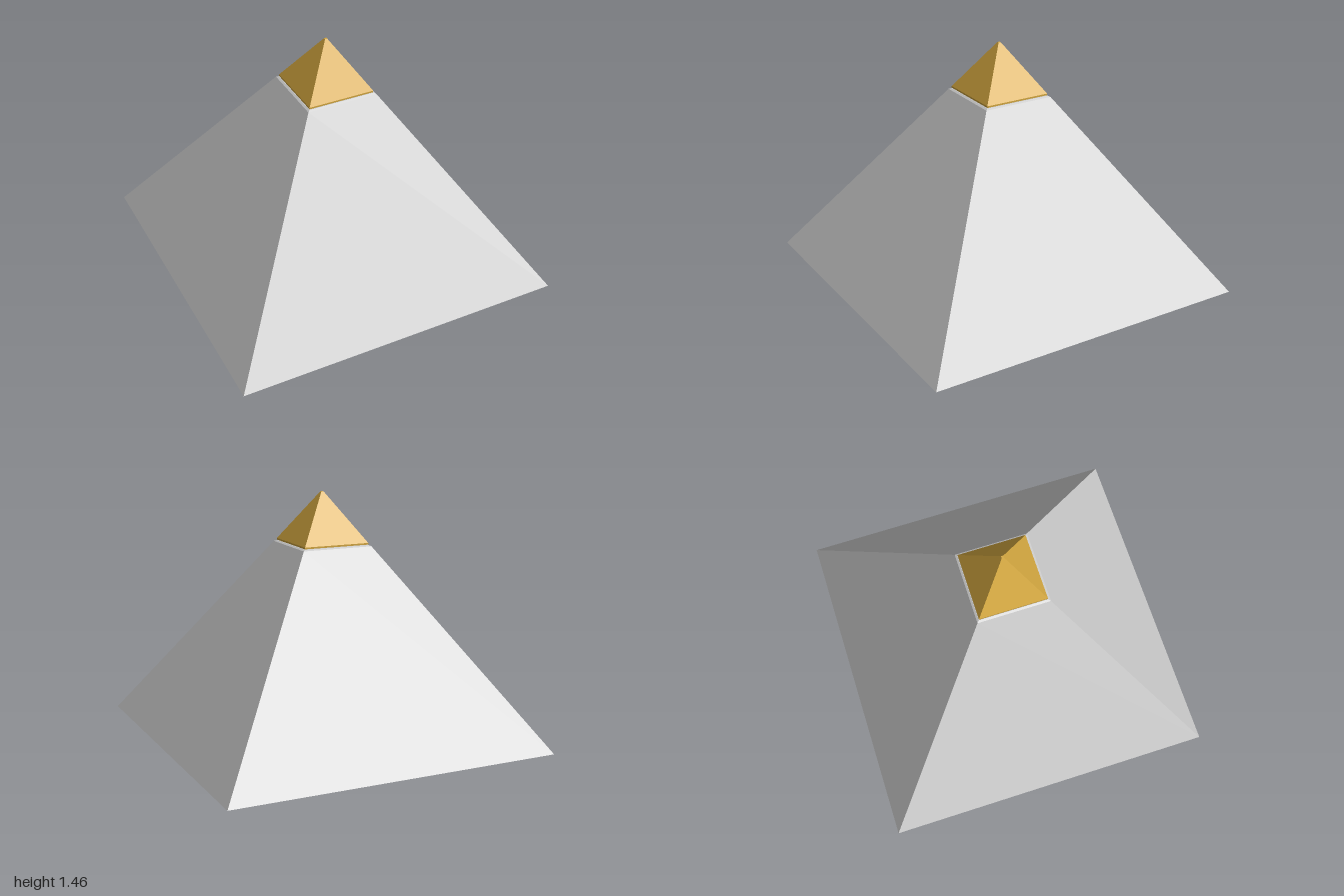
import * as THREE from 'three';

// Square, four-sided shell from [half width, height] pairs, bottom to top
function squareShell(name, profile, material) {
  const points = profile.map(([half, y]) => new THREE.Vector2(half * Math.SQRT2, y));
  const geometry = new THREE.LatheGeometry(points, 4, Math.PI / 4).toNonIndexed();
  geometry.computeVertexNormals();
  const mesh = new THREE.Mesh(geometry, material);
  mesh.name = name;
  return mesh;
}

export function createModel() {
  const group = new THREE.Group();
  group.name = 'pyramid';

  const stone = new THREE.MeshStandardMaterial({
    color: 0xcccccc, flatShading: true, side: THREE.DoubleSide,
  });
  const gold = new THREE.MeshStandardMaterial({ color: 0xd4a840, flatShading: true });

  // Hollow body, open underneath, with a narrow bevel round its flat top
  group.add(squareShell('body', [[1, 0], [0.217, 1.147], [0.205, 1.154], [0, 1.154]], stone));

  // Capstone with a thin upright rim and a slightly blunt tip
  group.add(squareShell('capstone',
    [[0, 1.156], [0.203, 1.156], [0.203, 1.166], [0.007, 1.457], [0, 1.457]], gold));

  return group;
}
